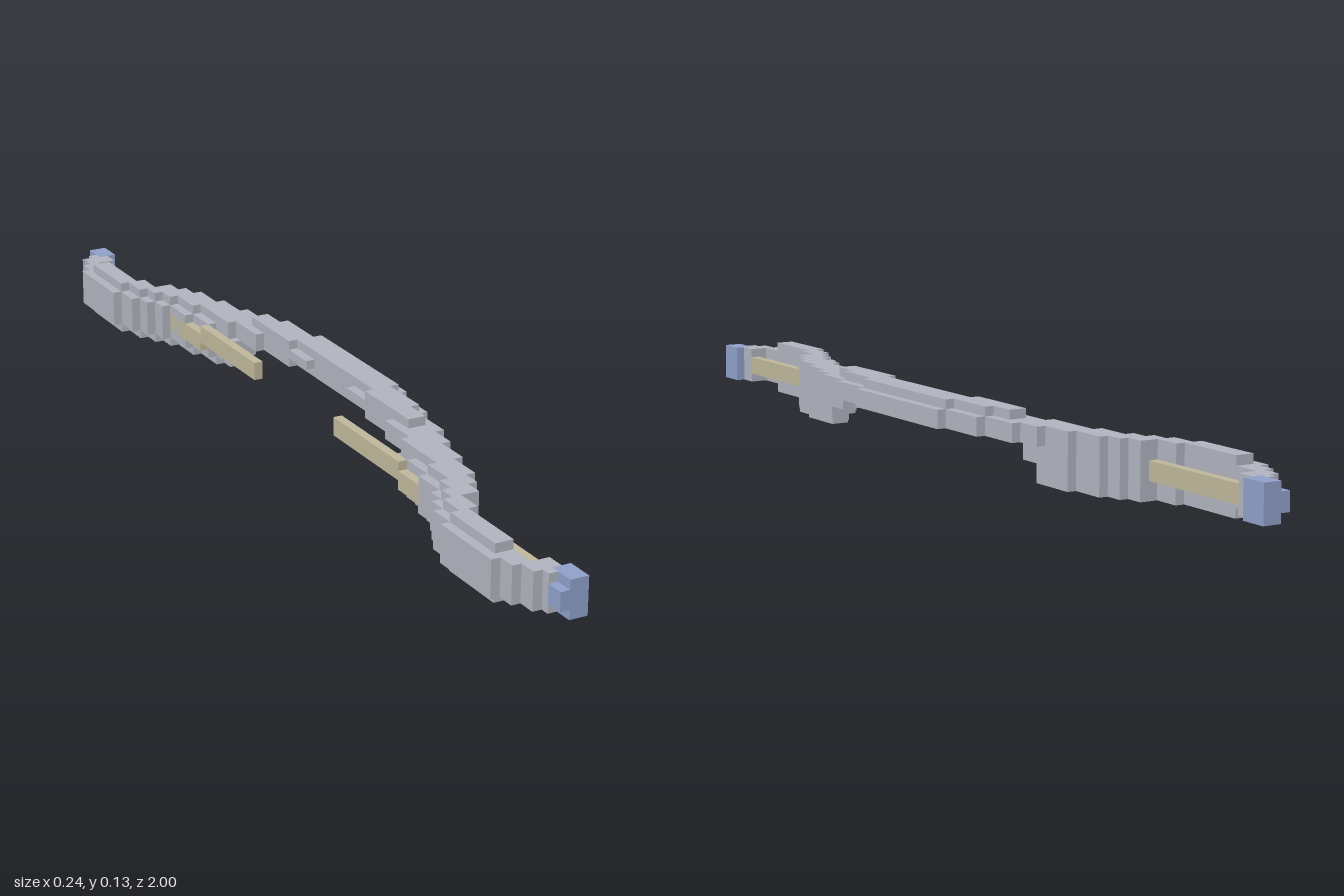
import * as THREE from 'three';

const U = 2 / 107; // edge of one block

export function createModel() {
  const group = new THREE.Group();
  const limbGrey = new THREE.MeshStandardMaterial({ color: 0xb0b4be });
  const stringTan = new THREE.MeshStandardMaterial({ color: 0xbfb79b });
  const tipBlue = new THREE.MeshStandardMaterial({ color: 0x8f9fc8 });

  // Box between block columns (x), rows (y) and distances from the middle (z)
  function block(name, mat, x0, x1, y0, y1, z0, z1) {
    const geo = new THREE.BoxGeometry((x1 - x0) * U, (y1 - y0) * U, (z1 - z0) * U);
    const mesh = new THREE.Mesh(geo, mat);
    mesh.position.set(((x0 + x1) / 2 - 6.5) * U, ((y0 + y1) / 2) * U, ((z0 + z1) / 2) * U);
    mesh.name = name;
    group.add(mesh);
  }
  function pair(name, mat, x0, x1, y0, y1, z0, z1) {
    block(name + 'Front', mat, x0, x1, y0, y1, z0, z1);
    block(name + 'Back', mat, x0, x1, y0, y1, -z1, -z0);
  }

  // Grip: raised middle, stepping back towards the limbs
  block('gripCentre', limbGrey, 9, 13, 4, 6, -8.5, 8.5);
  block('gripCentreTop', limbGrey, 9, 12, 6, 7, -8.5, 8.5);
  pair('gripRidge', limbGrey, 8, 9, 5, 6, 4.5, 8.5);
  pair('gripMiddle', limbGrey, 8, 12, 4, 6, 8.5, 14.5);
  pair('gripMiddleTop', limbGrey, 8, 11, 6, 7, 8.5, 14.5);
  pair('gripOuter', limbGrey, 7, 11, 4, 6, 14.5, 19.5);
  pair('gripOuterTop', limbGrey, 8, 10, 6, 7, 14.5, 17.5);
  pair('gripShoulder', limbGrey, 6, 10, 4, 6, 19.5, 22.5);
  pair('gripUnderside', limbGrey, 6, 9, 2, 4, 18.5, 21);

  // Curved limbs: [z from, z to, column from, column to, bottom row, top row]
  const slices = [
    [21, 22.5, 6, 9, 0, 4],
    [22.5, 26.5, 5, 9, 0, 6],
    [26.5, 28.5, 4, 8, 0, 6],
    [28.5, 30.5, 4, 8, 0, 6],
    [30.5, 32.5, 3, 7, 0, 6],
    [32.5, 34.5, 2, 6, 0, 6],
    [34.5, 37.5, 1, 4, 0, 6],
    [37.5, 45.5, 0, 3, 0, 6],
    [45.5, 46.5, 0, 3, 1, 5],
    [46.5, 48.5, 1, 3, 1, 5],
    [48.5, 50.5, 2, 5, 1, 5],
  ];
  for (const [z0, z1, x0, x1, y0, y1] of slices) {
    // the outermost column is one row shorter at top and bottom
    pair('limbCore', limbGrey, x0 + 1, x1, y0, y1, z0, z1);
    pair('limbEdge', limbGrey, x0, x0 + 1, 1, Math.min(y1, 5), z0, z1);
  }
  pair('limbEnd', limbGrey, 3, 4, 1, 5, 50.5, 51.5);

  // Bowstring: two parted lengths, lower near the tips
  pair('stringInner', stringTan, 4, 5, 3, 5, 9, 22.5);
  pair('stringOuter', stringTan, 4, 5, 2, 4, 22.5, 49.5);

  // Tip knobs
  pair('tipKnob', tipBlue, 4, 6, 1, 5, 50.5, 53.5);
  pair('tipKnobSide', tipBlue, 3, 4, 2, 4, 51.5, 53.5);

  return group;
}
